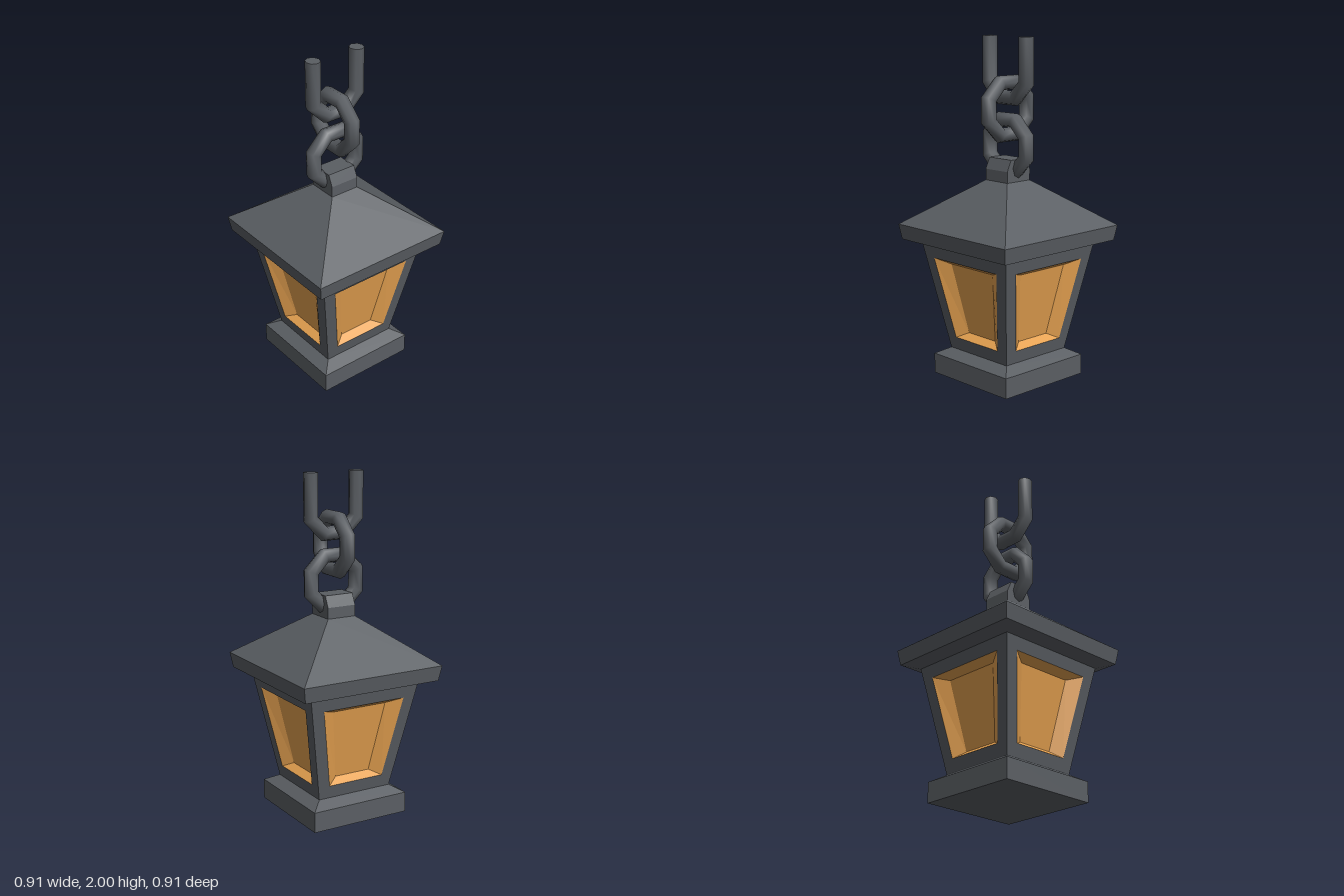
import * as THREE from 'three';
import { mergeVertices } from 'three/addons/utils/BufferGeometryUtils.js';

const iron = new THREE.MeshStandardMaterial({ color: 0x5a5e63 });
iron.name = 'dark iron';
const amber = new THREE.MeshStandardMaterial({ color: 0xe5a150 });
amber.name = 'amber glass';

function part(name, geometry, material, parent) {
  const mesh = new THREE.Mesh(geometry, material);
  mesh.name = name;
  parent.add(mesh);
  return mesh;
}

// Square, flat-shaded solid from a profile of [half width, height]
function squareLathe(profile) {
  const points = profile.map(([half, y]) => new THREE.Vector2(half * Math.SQRT2, y));
  const geometry = new THREE.LatheGeometry(points, 4, Math.PI / 4).toNonIndexed();
  geometry.computeVertexNormals();
  return geometry;
}

// Flat-shaded geometry from quads of four corners each
function quads(list) {
  const positions = list.flatMap(([a, b, c, d]) => [a, b, c, a, c, d].flat());
  const geometry = new THREE.BufferGeometry();
  geometry.setAttribute('position', new THREE.Float32BufferAttribute(positions, 3));
  geometry.computeVertexNormals();
  return geometry;
}

// Corners of a trapezoid lying on the sloping body wall, sunk in by inset
function trapezoid(lowHalf, lowY, highHalf, highY, inset) {
  const wall = y => 0.238 + (0.355 - 0.238) * (y - 0.16) / 0.64 - inset;
  return [
    [-lowHalf, lowY, wall(lowY)], [lowHalf, lowY, wall(lowY)],
    [highHalf, highY, wall(highY)], [-highHalf, highY, wall(highY)],
  ];
}

// Quads that join two trapezoids
const border = (outer, inner) => outer.map((p, i) => {
  const j = (i + 1) % 4;
  return [p, outer[j], inner[j], inner[i]];
});

const RING = 0.161, TUBE = 0.045;

function smooth(geometry) {
  geometry.deleteAttribute('uv');
  geometry.deleteAttribute('normal');
  const merged = mergeVertices(geometry, 1e-4);
  merged.computeVertexNormals();
  return merged;
}

// Eight-sided closed chain link
function closedLink() {
  return smooth(new THREE.TorusGeometry(RING, TUBE, 8, 8).rotateZ(Math.PI / 8));
}

// Lower half of a link with its arms drawn straight up
function openLink(armTop) {
  const geometry = new THREE.TorusGeometry(RING, TUBE, 8, 5, Math.PI * 1.25).rotateZ(Math.PI * 0.875);
  const position = geometry.attributes.position;
  for (let i = 0; i < position.count; i++) {
    if (position.getY(i) > 0) position.setY(i, armTop);
  }
  return smooth(geometry);
}

export function createModel() {
  const model = new THREE.Group();
  model.name = 'hangingLantern';

  // Base and roof
  part('base', squareLathe([[0, 0], [0.31, 0], [0.31, 0.12], [0.238, 0.16], [0, 0.16]]), iron, model);
  part('roof', squareLathe([[0, 0.795], [0.355, 0.795], [0.438, 0.82], [0.453, 0.91], [0.09, 1.175], [0, 1.175]]), iron, model);

  // Four framed walls with recessed glass
  const edge = trapezoid(0.238, 0.16, 0.355, 0.8, 0);
  const opening = trapezoid(0.178, 0.237, 0.265, 0.72, 0);
  const back = trapezoid(0.112, 0.27, 0.175, 0.69, 0.05);
  const frame = quads(border(edge, opening));
  const glass = quads([...border(opening, back), back]);
  for (let i = 0; i < 4; i++) {
    const wall = new THREE.Group();
    wall.name = 'wall' + (i + 1);
    wall.rotation.y = i * Math.PI / 2;
    part('frame', frame, iron, wall);
    part('window', glass, amber, wall);
    model.add(wall);
  }

  // Chamfered block that holds the chain
  const profile = [[-0.09, 1.16], [0.09, 1.16], [0.09, 1.24], [0.06, 1.305], [-0.06, 1.305], [-0.09, 1.24]];
  const shape = new THREE.Shape(profile.map(([x, y]) => new THREE.Vector2(x, y)));
  const block = new THREE.ExtrudeGeometry(shape, { depth: 0.18, bevelEnabled: false });
  part('chainMount', block.translate(0, 0, -0.09), iron, model);

  // Chain of alternating links
  const chain = new THREE.Group();
  chain.name = 'chain';
  model.add(chain);
  const lower = part('lowerLink', closedLink(), iron, chain);
  lower.position.y = 1.375;
  lower.rotation.y = Math.PI / 2;
  part('middleLink', closedLink(), iron, chain).position.y = 1.588;
  const upper = part('upperLink', openLink(0.2), iron, chain);
  upper.position.y = 1.8;
  upper.rotation.y = Math.PI / 2;

  // Cut ends of the open link
  const squash = Math.cos(Math.PI / 8);
  for (const side of [-1, 1]) {
    const cap = new THREE.CircleGeometry(TUBE, 8).rotateX(-Math.PI / 2).scale(1, 1, squash);
    part('linkEnd', cap, iron, chain).position.set(0, 2, side * RING * squash);
  }
  return model;
}
